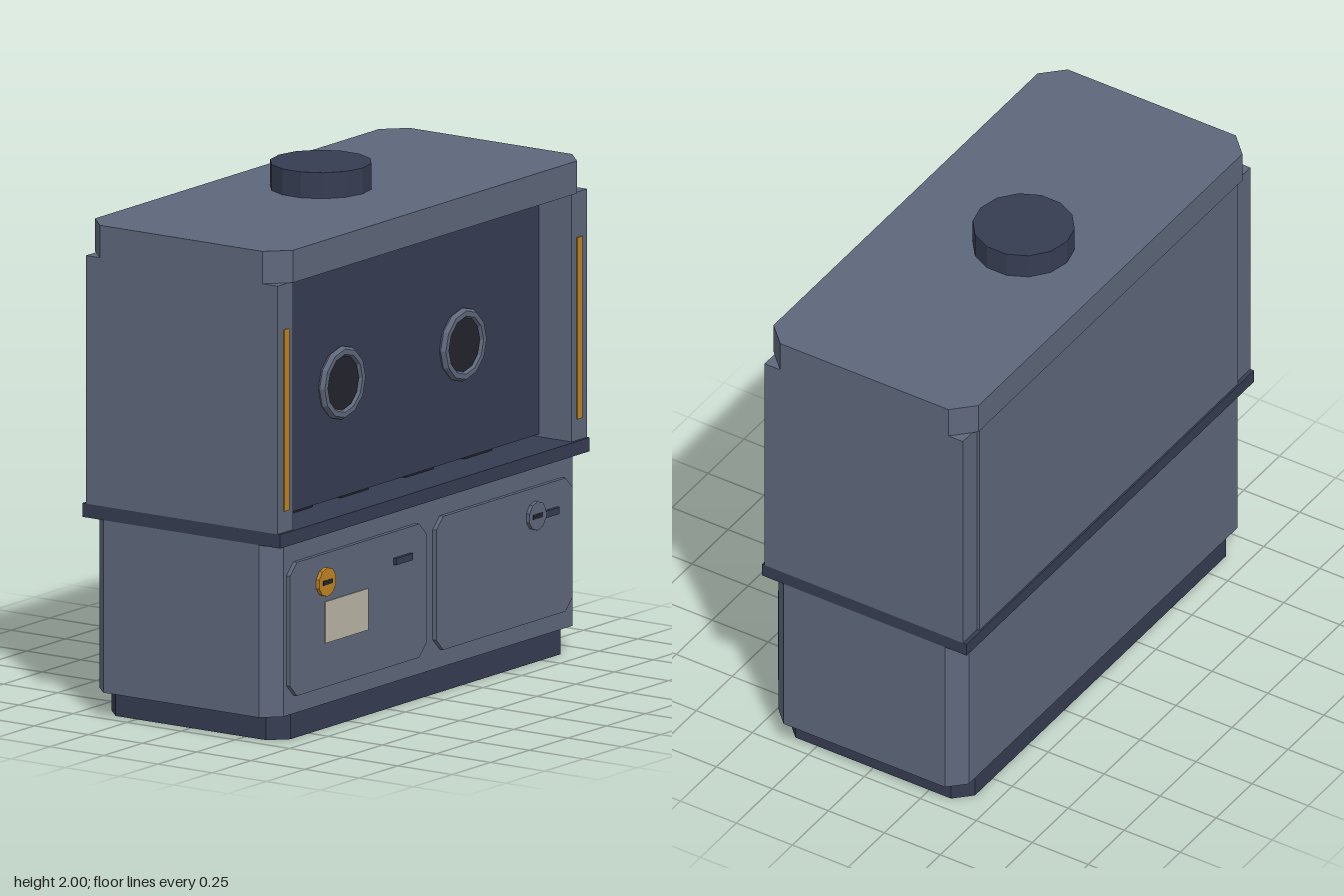
import * as THREE from 'three';

const mat = (name, color) => {
  const m = new THREE.MeshStandardMaterial({ color });
  m.name = name;
  return m;
};

export function createModel() {
  const steel = mat('steel grey', 0x5e677b);
  const navy = mat('dark navy', 0x363d52);
  const black = mat('near black', 0x23232d);
  const orange = mat('warning orange', 0xc08422);
  const paper = mat('label paper', 0xbab5a5);
  const glow = mat('lamp cream', 0xd0c4a4);

  const model = new THREE.Group();
  model.name = 'fumeCupboard';

  const add = (name, geometry, material, x = 0, y = 0, z = 0) => {
    // Unshared corners with face normals keep every facet flat
    const g = geometry.index ? geometry.toNonIndexed() : geometry;
    g.computeVertexNormals();
    const mesh = new THREE.Mesh(g, material);
    mesh.name = name;
    mesh.position.set(x, y, z);
    model.add(mesh);
    return mesh;
  };

  // Box given by its limits
  const box = (name, material, x0, x1, y0, y1, z0, z1) =>
    add(name, new THREE.BoxGeometry(x1 - x0, y1 - y0, z1 - z0), material,
      (x0 + x1) / 2, (y0 + y1) / 2, (z0 + z1) / 2);

  // Rectangle with cut corners, extruded along z
  const chamfered = (w, h, c, depth) => {
    const a = w / 2, b = h / 2;
    const shape = new THREE.Shape([
      [-a + c, -b], [a - c, -b], [a, -b + c], [a, b - c],
      [a - c, b], [-a + c, b], [-a, b - c], [-a, -b + c],
    ].map(([x, y]) => new THREE.Vector2(x, y)));
    return new THREE.ExtrudeGeometry(shape, { depth, bevelEnabled: false });
  };
  // Upright block with cut vertical edges
  const slab = (name, material, w, d, c, y0, y1) =>
    add(name, chamfered(w, d, c, y1 - y0).rotateX(-Math.PI / 2), material, 0, y0, 0);

  // Lower half
  slab('plinth', navy, 1.875, 0.825, 0.065, 0, 0.1);
  slab('baseCabinet', steel, 2, 0.85, 0.065, 0.1, 0.765);
  box('worktop', navy, -1, 1, 0.765, 0.818, -0.457, 0.457);

  // Upper half: hollow chamber under a roof
  for (const s of [-1, 1]) {
    const side = s > 0 ? 'left' : 'right';
    add(side + 'Wall', new THREE.BoxGeometry(0.1, 0.957, 0.885), steel, s * 0.95, 1.2965, 0.0025);
    add(side + 'WarningStrip', new THREE.BoxGeometry(0.032, 0.7, 0.006), orange, s * 0.947, 1.25, 0.447);
  }
  box('backPanel', steel, -0.9, 0.9, 0.818, 1.775, -0.45, -0.41);
  slab('roof', steel, 2, 0.915, 0.082, 1.775, 1.9);
  add('exhaustDuct', new THREE.CylinderGeometry(0.193, 0.193, 0.1, 14), navy, 0, 1.95, -0.07);

  // Sash with the lamp showing above it and vents below
  box('sash', navy, -0.9, 0.9, 0.828, 1.742, 0.265, 0.295);
  box('lamp', glow, -0.9, 0.9, 1.735, 1.774, 0.2, 0.25);
  for (const x of [-0.64, -0.28, 0.14, 0.52])
    box('floorVent', black, x - 0.09, x + 0.09, 0.818, 0.828, 0.2, 0.285);

  // Glove ports
  for (const s of [-1, 1]) {
    const x = s * 0.391;
    add('gloveRing', new THREE.TorusGeometry(0.122, 0.02, 6, 12), steel, x, 1.27, 0.305);
    add('gloveOpening', new THREE.CylinderGeometry(0.115, 0.115, 0.016, 12).rotateX(Math.PI / 2),
      black, x, 1.27, 0.302);
  }

  // Doors with handle and slotted lock
  const doors = [
    { side: 'right', x: -0.475, lock: -0.693, handle: -0.193, color: orange },
    { side: 'left', x: 0.47, lock: 0.665, handle: 0.755, color: steel },
  ];
  for (const d of doors) {
    add(d.side + 'Door', chamfered(0.88, 0.515, 0.045, 0.025), steel, d.x, 0.428, 0.417);
    add(d.side + 'Handle', new THREE.BoxGeometry(0.108, 0.026, 0.014), navy, d.handle, 0.572, 0.448);
    add(d.side + 'Lock', new THREE.CylinderGeometry(0.056, 0.056, 0.016, 10).rotateX(Math.PI / 2),
      d.color, d.lock, 0.578, 0.449);
    add(d.side + 'LockSlot', new THREE.BoxGeometry(0.06, 0.018, 0.003), black, d.lock, 0.578, 0.4575);
  }
  box('label', paper, -0.693, -0.413, 0.34, 0.5, 0.441, 0.446);

  return model;
}
